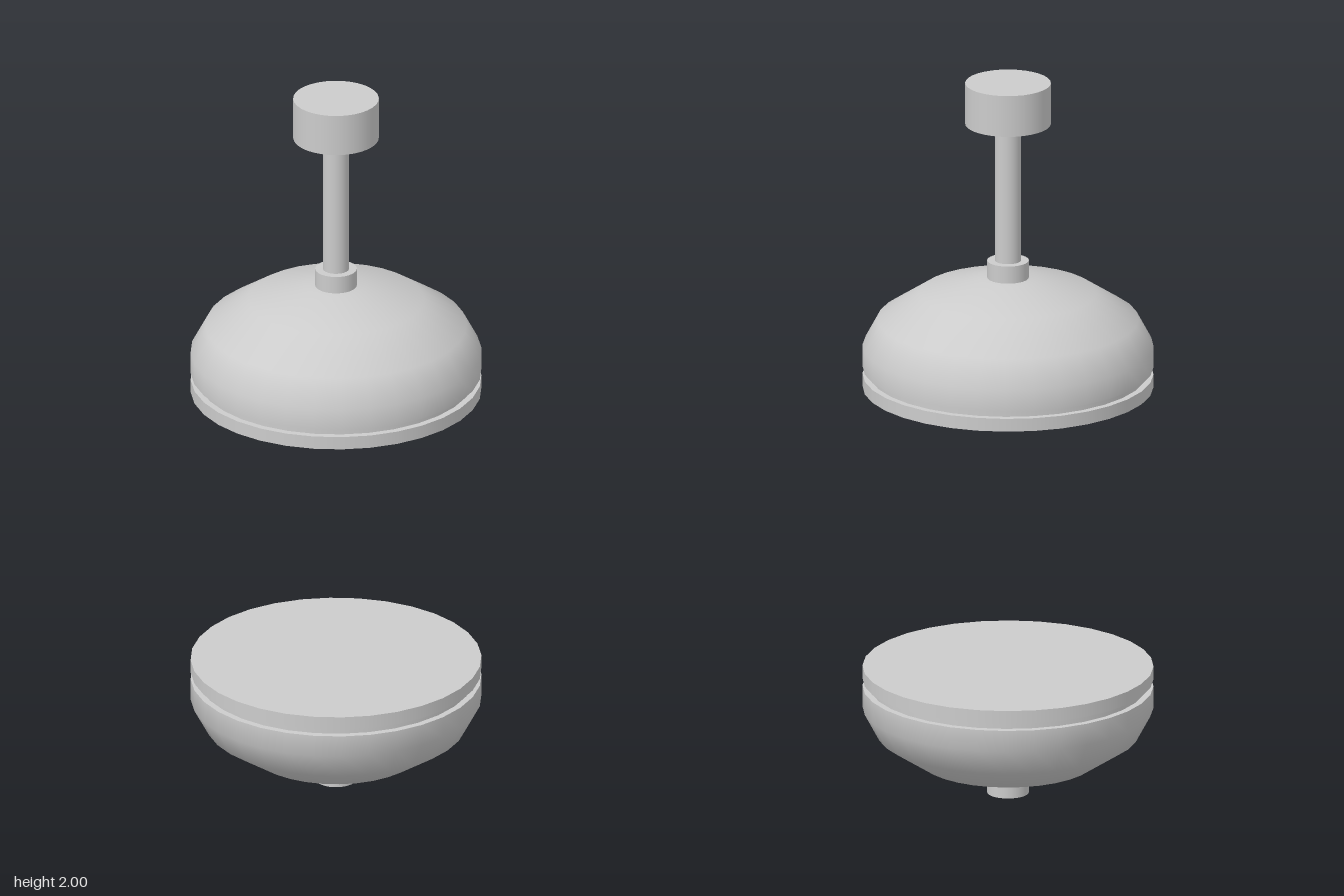
import * as THREE from 'three';

const SIDES = 32;
const material = new THREE.MeshStandardMaterial({ color: 0xcccccc });

// Upright cylinder spanning y0 to y1
function disc(name, radius, y0, y1) {
  const mesh = new THREE.Mesh(new THREE.CylinderGeometry(radius, radius, y1 - y0, SIDES), material);
  mesh.position.y = (y0 + y1) / 2;
  mesh.name = name;
  return mesh;
}

// Domed shell with a grooved rim and a small collar; y = 0 is the open-side face
function createHousing(name) {
  const housing = new THREE.Group();
  housing.name = name;

  const profile = [
    [0.39, 0.056], [0.39, 0.116], [0.35, 0.191], [0.236, 0.266], [0.08, 0.307], [0, 0.31],
  ].map(([r, y]) => new THREE.Vector2(r, y));
  const dome = new THREE.Mesh(new THREE.LatheGeometry(profile, SIDES), material);
  dome.name = 'dome';

  // Underside of the dome, seen inside the groove
  const underside = new THREE.Mesh(new THREE.CircleGeometry(0.39, SIDES), material);
  underside.rotation.x = Math.PI / 2;
  underside.position.y = 0.056;
  underside.name = 'domeUnderside';

  housing.add(
    dome,
    underside,
    disc('rim', 0.39, 0, 0.036),
    disc('groove', 0.372, 0.036, 0.056),
    disc('collar', 0.056, 0.29, 0.356),
  );
  return housing;
}

export function createModel() {
  const model = new THREE.Group();
  model.name = 'pendant';

  // Ceiling mount and hanging rod
  model.add(disc('ceilingMount', 0.115, 1.885, 2));
  model.add(disc('rod', 0.035, 1.45, 1.885));

  // Upper housing, and the same part turned over below the open gap
  const upper = createHousing('upperHousing');
  upper.position.y = 1.144;
  const lower = createHousing('lowerHousing');
  lower.rotation.x = Math.PI;
  lower.position.y = 0.356;
  model.add(upper, lower);

  return model;
}
